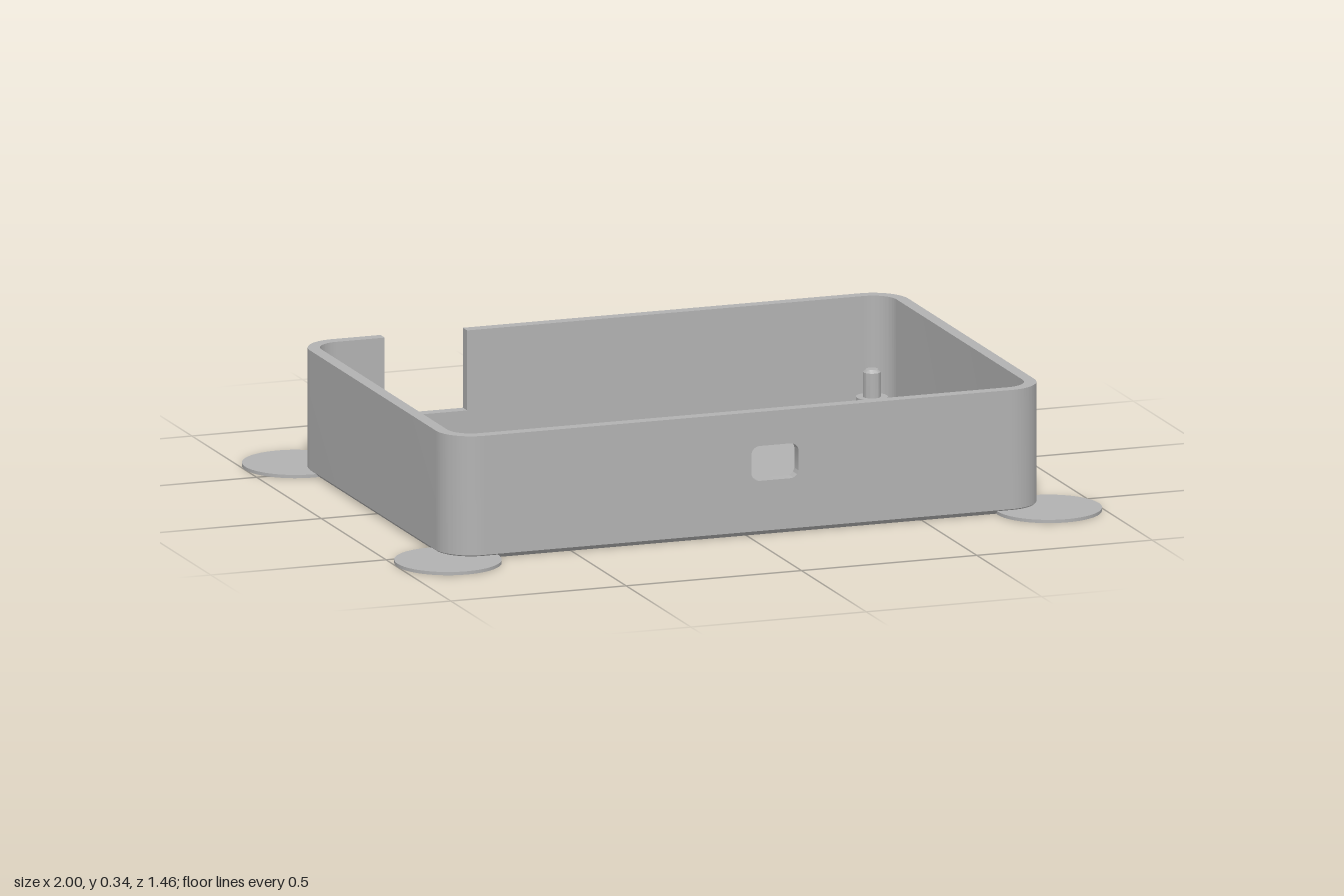
import * as THREE from 'three';
import { toCreasedNormals } from 'three/addons/utils/BufferGeometryUtils.js';

const W = 0.853, D = 0.586, H = 0.34;      // half width, half depth, height
const R = 0.1, T = 0.033;                  // corner radius, wall and floor thickness
const CHAMFER = 0.012;
const C = W - R, E = D - R;                // corner arc centres

function roundedRect(path, x0, y0, x1, y1, r) {
  path.moveTo(x0 + r, y0);
  path.lineTo(x1 - r, y0);
  path.absarc(x1 - r, y0 + r, r, -Math.PI / 2, 0);
  path.lineTo(x1, y1 - r);
  path.absarc(x1 - r, y1 - r, r, 0, Math.PI / 2);
  path.lineTo(x0 + r, y1);
  path.absarc(x0 + r, y1 - r, r, Math.PI / 2, Math.PI);
  path.lineTo(x0, y0 + r);
  path.absarc(x0 + r, y0 + r, r, Math.PI, Math.PI * 1.5);
  return path;
}

const extrude = (shape, depth) =>
  new THREE.ExtrudeGeometry(shape, { depth, bevelEnabled: false, curveSegments: 16 });

// Plan shape (x, -z) raised from y0 to y1
const raise = (shape, y0, y1) =>
  extrude(shape, y1 - y0).rotateX(-Math.PI / 2).translate(0, y0, 0);

// Round head with a narrow slot running towards the front
function keyhole(x) {
  const head = 0.073, slot = 0.035, a = Math.asin(slot / head);
  const p = new THREE.Path();
  p.absarc(x, 0.12, head, -Math.PI / 2 + a, Math.PI * 1.5 - a);
  p.lineTo(x - slot, -0.075);
  p.absarc(x, -0.075, slot, Math.PI, Math.PI * 2);
  p.closePath();
  return p;
}

// Sloping band between the floor outline and the wall outline
function chamferBand() {
  const outline = (inset) => roundedRect(new THREE.Path(),
    -W + inset, -D + inset, W - inset, D - inset, R - inset).getPoints(16);
  const low = outline(CHAMFER), high = outline(0);
  const pos = [], index = [];
  low.forEach((p, i) => {
    pos.push(p.x, 0, -p.y, high[i].x, CHAMFER, -high[i].y);
    const a = i * 2, b = ((i + 1) % low.length) * 2;
    index.push(a, b, b + 1, a, b + 1, a + 1);
  });
  const g = new THREE.BufferGeometry();
  g.setAttribute('position', new THREE.Float32BufferAttribute(pos, 3));
  g.setIndex(index);
  g.computeVertexNormals();
  return g;
}

export function createModel() {
  const model = new THREE.Group();
  model.name = 'enclosureBase';
  const grey = new THREE.MeshStandardMaterial({ color: 0xb2b2b2 });
  grey.name = 'grey plastic';

  function add(name, geometry) {
    const mesh = new THREE.Mesh(toCreasedNormals(geometry, 0.5), grey);
    mesh.name = name;
    model.add(mesh);
    return mesh;
  }

  // Floor with two hanging keyholes
  const i = CHAMFER;
  const floor = roundedRect(new THREE.Shape(), -W + i, -D + i, W - i, D - i, R - i);
  floor.holes.push(keyhole(-0.48), keyhole(0.48));
  add('floor', raise(floor, 0, T));
  add('bottomChamfer', chamferBand());

  // Side walls, each with its two rounded corners
  const side = new THREE.Shape();
  side.moveTo(C, -D);
  side.absarc(C, -E, R, -Math.PI / 2, 0);
  side.lineTo(W, E);
  side.absarc(C, E, R, 0, Math.PI / 2);
  side.lineTo(C, D - T);
  side.absarc(C, E, R - T, Math.PI / 2, 0, true);
  side.lineTo(W - T, -E);
  side.absarc(C, -E, R - T, 0, -Math.PI / 2, true);
  side.closePath();
  add('leftWall', raise(side, CHAMFER, H));
  add('rightWall', raise(side, CHAMFER, H).rotateY(Math.PI));

  // Front wall with a small rounded port
  const front = new THREE.Shape([
    [-C, CHAMFER], [C, CHAMFER], [C, H], [-C, H],
  ].map(([x, y]) => new THREE.Vector2(x, y)));
  front.holes.push(roundedRect(new THREE.Path(), 0.01, 0.15, 0.145, 0.246, 0.024));
  add('frontWall', extrude(front, T).translate(0, 0, D - T));

  // Back wall with an open cable notch
  const back = new THREE.Shape([
    [-C, CHAMFER], [C, CHAMFER], [C, H], [-0.38, H],
    [-0.38, 0.12], [-0.615, 0.12], [-0.615, H], [-C, H],
  ].map(([x, y]) => new THREE.Vector2(x, y)));
  add('backWall', extrude(back, T).translate(0, 0, -D));

  // Corner discs and board posts
  const postProfile = [
    [0.043, T - 0.005], [0.043, 0.08], [0.024, 0.08], [0.024, 0.148], [0.016, 0.156], [0, 0.156],
  ].map(([r, y]) => new THREE.Vector2(r, y));
  for (const sx of [-1, 1]) {
    for (const sz of [-1, 1]) {
      const corner = (sz > 0 ? 'front' : 'back') + (sx > 0 ? 'Left' : 'Right');
      add(corner + 'Disc', new THREE.CylinderGeometry(0.144, 0.144, 0.009, 48))
        .position.set(sx * 0.856, 0.0045, sz * 0.588);
      add(corner + 'Post', new THREE.LatheGeometry(postProfile, 32))
        .position.set(sx * 0.748, 0, sz * 0.482);
    }
  }
  return model;
}
